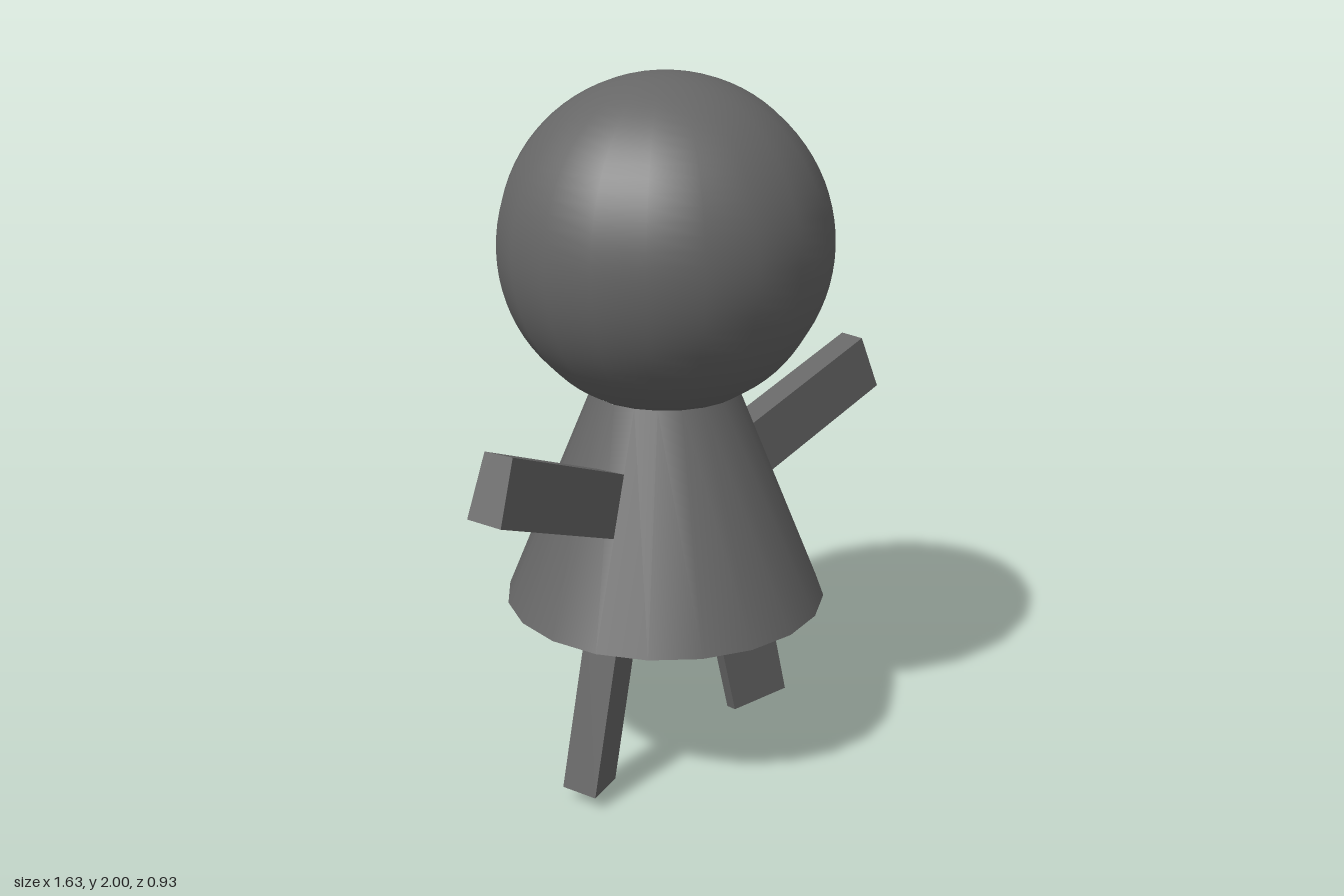
import * as THREE from 'three';

const SIDES = 20;

// Four-sided limb: a box whose corners are moved to a tapered section,
// swept by "offset". section = [a, b, c, d] in box (y, z) order: ++, +-, -+, --
function limb(section, offset, side) {
  const geo = new THREE.BoxGeometry(1, 1, 1);
  const pos = geo.attributes.position;
  for (let i = 0; i < pos.count; i++) {
    const outer = pos.getX(i) * side > 0;
    const corner = section[(pos.getY(i) > 0 ? 0 : 2) + (pos.getZ(i) > 0 ? 0 : 1)];
    const p = corner.map((v, k) => v + (outer ? 0 : offset[k]));
    pos.setXYZ(i, p[0] * side, p[1], p[2]);
  }
  geo.computeVertexNormals();
  return geo;
}

export function createModel() {
  const model = new THREE.Group();
  const grey = new THREE.MeshStandardMaterial({ color: 0x666666 });
  grey.name = 'darkGrey';

  const add = (name, geo) => {
    const mesh = new THREE.Mesh(geo, grey);
    mesh.name = name;
    model.add(mesh);
    return mesh;
  };

  // Round head
  add('head', new THREE.SphereGeometry(0.465, SIDES, 40)).position.y = 1.535;

  // Conical dress, closed below by a shallow dome
  const lathe = (pts) =>
    new THREE.LatheGeometry(pts.map(([r, y]) => new THREE.Vector2(r, y)), SIDES);
  add('dress', lathe([[0.465, 0.5], [0.21, 1.12]]));
  const dome = [];
  for (let i = 0; i <= 8; i++) {
    const t = i / 8;
    dome.push([0.465 * t, 0.4 + 0.1 * t * t]);
  }
  add('dressBottom', lathe(dome));

  // Raised arms: end section at the hand, swept back into the dress
  const hand = [
    [0.735, 1.145, 0.16], [0.75, 1.145, 0.075],
    [0.8, 0.982, 0.18], [0.815, 0.985, 0.075],
  ];
  // Splayed legs: end section at the foot, swept up into the dress
  const foot = [
    [0.435, 0.042, 0.125], [0.455, 0.045, 0.018],
    [0.275, 0.003, 0.05], [0.28, 0, 0.015],
  ];
  for (const [side, label] of [[1, 'left'], [-1, 'right']]) {
    add(label + 'Arm', limb(hand, [-0.6, -0.245, -0.094], side));
    add(label + 'Leg', limb(foot, [-0.12, 0.47, -0.014], side));
  }
  return model;
}
